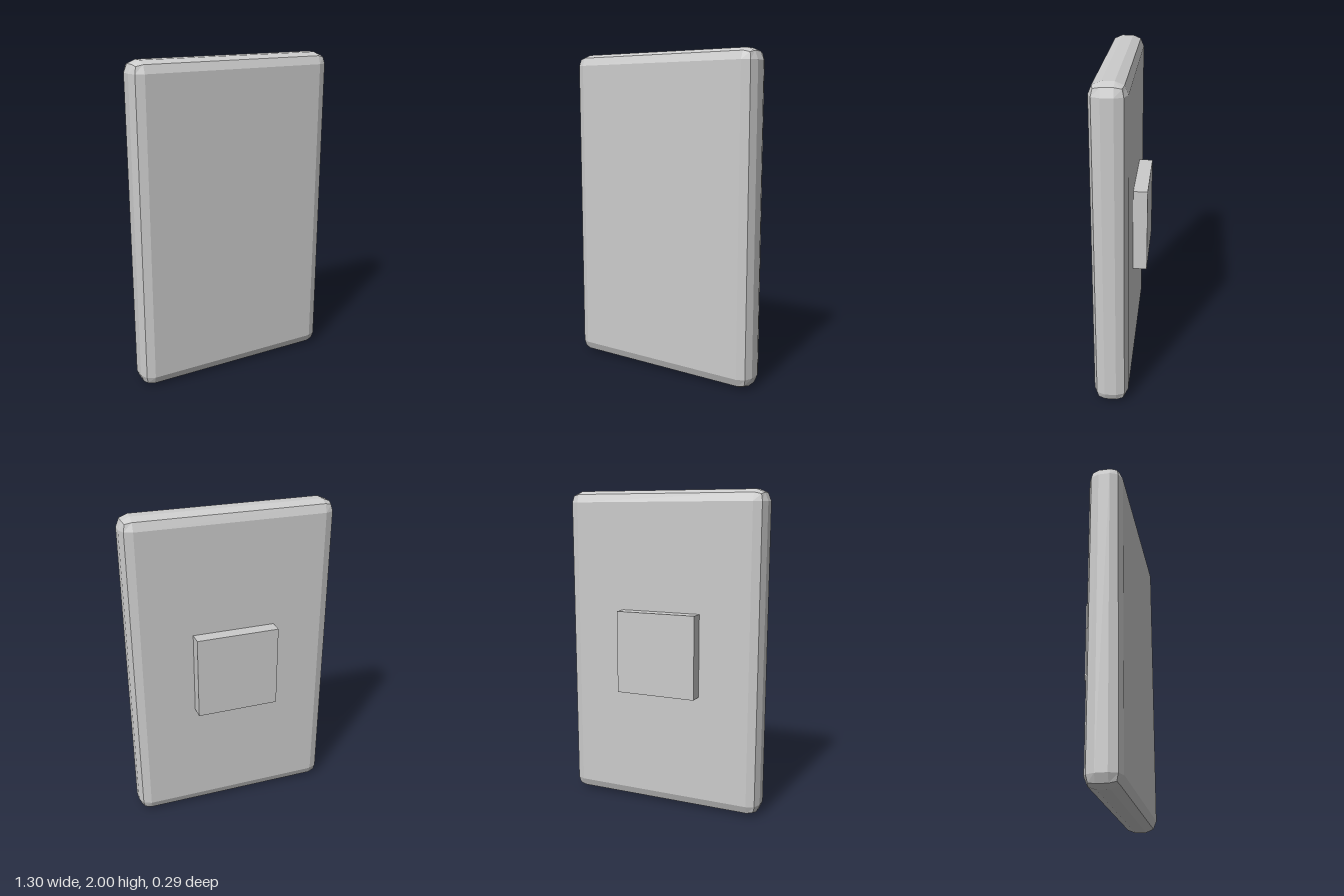
import * as THREE from 'three';
import { RoundedBoxGeometry } from 'three/addons/geometries/RoundedBoxGeometry.js';

export function createModel() {
  const model = new THREE.Group();
  const material = new THREE.MeshStandardMaterial({ color: 0xcccccc, flatShading: true });

  const add = (name, geometry, y, z) => {
    const mesh = new THREE.Mesh(geometry, material);
    mesh.name = name;
    mesh.position.set(0, y, z);
    model.add(mesh);
  };

  const front = 0.147, back = -0.147, panelBack = -0.062;

  // Upright slab with faceted, rounded edges
  add('panel', new RoundedBoxGeometry(1.3, 2, front - panelBack, 1, 0.07), 1, (front + panelBack) / 2);

  // Sharp-edged block on the back, sunk slightly into the panel
  const sunk = panelBack + 0.02;
  add('backMount', new THREE.BoxGeometry(0.52, 0.52, sunk - back), 1, (sunk + back) / 2);

  return model;
}
